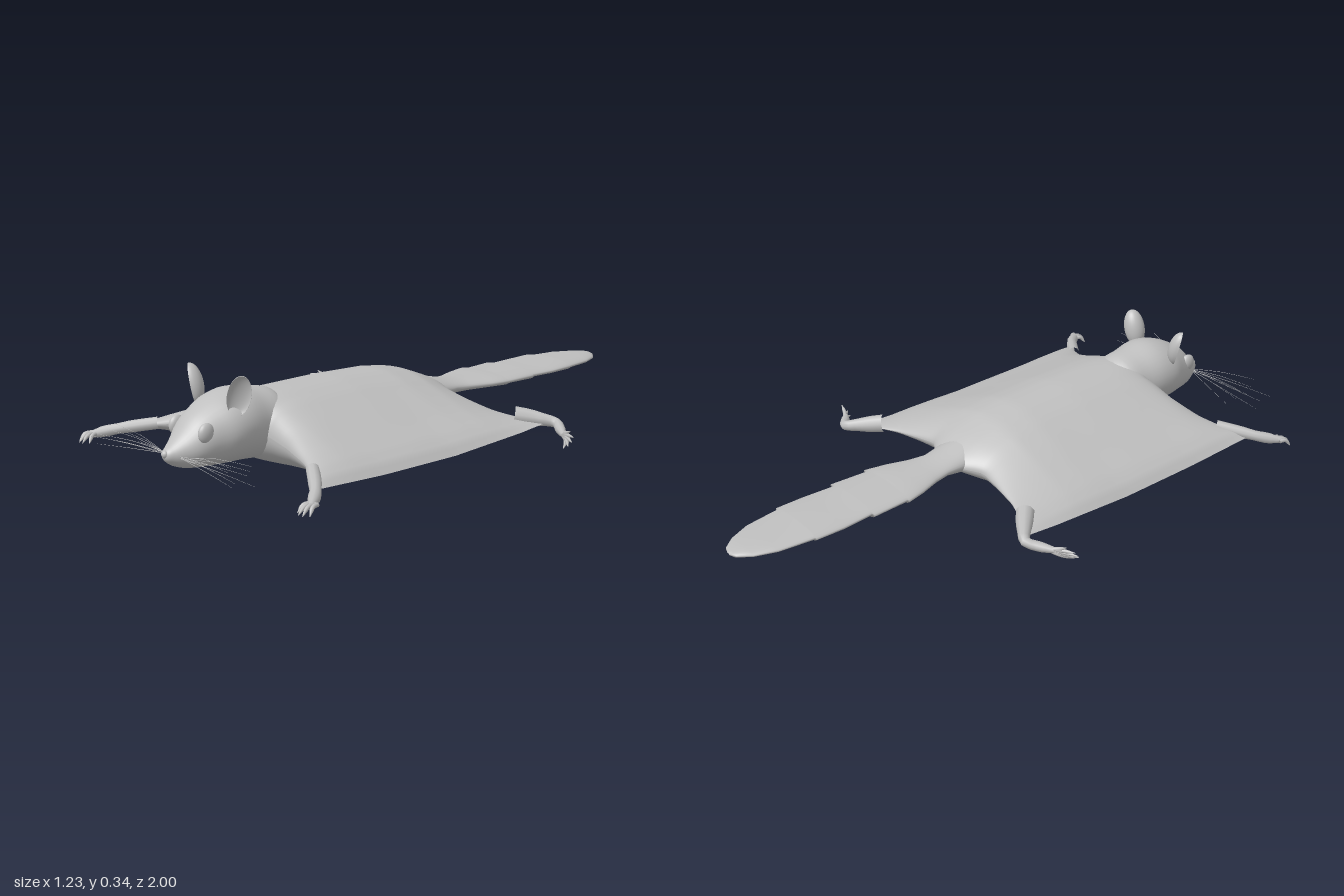
import * as THREE from 'three';
import { mergeVertices } from 'three/addons/utils/BufferGeometryUtils.js';

const grey = new THREE.MeshStandardMaterial({ color: 0xbfbfbf });
grey.name = 'grey fur';

// piecewise value of a profile given as [[key, value], ...]
function at(profile, k, col = 1) {
  if (k <= profile[0][0]) return profile[0][col];
  for (let i = 1; i < profile.length; i++) {
    const a = profile[i - 1], b = profile[i];
    if (k <= b[0]) return a[col] + (b[col] - a[col]) * (k - a[0]) / (b[0] - a[0]);
  }
  return profile[profile.length - 1][col];
}

// grid of points (rows x cols) turned into a smooth surface
function skin(rows, cols, point) {
  const pos = [], idx = [];
  for (let i = 0; i <= rows; i++) for (let j = 0; j <= cols; j++) pos.push(...point(i / rows, j / cols));
  for (let i = 0; i < rows; i++) for (let j = 0; j < cols; j++) {
    const a = i * (cols + 1) + j, b = a + cols + 1;
    idx.push(a, a + 1, b, a + 1, b + 1, b);
  }
  const g = new THREE.BufferGeometry();
  g.setAttribute('position', new THREE.Float32BufferAttribute(pos, 3));
  g.setIndex(idx);
  const merged = mergeVertices(g, 1e-5);
  merged.computeVertexNormals();
  return merged;
}

// elliptical loft along z; rings are [z, half width, bottom, top] with z rising
function loft(rings, smooth) {
  const curves = [0, 2].map(o => new THREE.CatmullRomCurve3(
    rings.map(r => o ? new THREE.Vector3(r[0], r[2], r[3]) : new THREE.Vector3(r[0], r[1], 0)), false, 'centripetal'));
  const rows = smooth ? (rings.length - 1) * 4 : rings.length - 1;
  return skin(rows, 32, (u, v) => {
    const a = (v === 1 ? 0 : v) * Math.PI * 2;
    const p = curves[0].getPoint(u), q = curves[1].getPoint(u);
    return [p.y * Math.cos(a), (q.y + q.z) / 2 + (q.z - q.y) / 2 * Math.sin(a), p.x];
  });
}

// tube whose radius follows a list spread along the path
function taper(points, radii, seg = 12, sides = 10) {
  const path = new THREE.CatmullRomCurve3(points.map(p => new THREE.Vector3(...p)));
  const g = new THREE.TubeGeometry(path, seg, 1, sides);
  const prof = radii.map((r, i) => [i / (radii.length - 1), r]);
  const pos = g.attributes.position, v = new THREE.Vector3();
  for (let i = 0; i < pos.count; i++) {
    const u = Math.floor(i / (sides + 1)) / seg, c = path.getPointAt(u);
    v.fromBufferAttribute(pos, i).sub(c).multiplyScalar(at(prof, u)).add(c);
    pos.setXYZ(i, v.x, v.y, v.z);
  }
  return g;
}

export function createModel() {
  const model = new THREE.Group();
  const add = (name, geo, parent = model) => {
    const m = new THREE.Mesh(geo, grey);
    m.name = name;
    parent.add(m);
    return m;
  };

  // body and gliding membrane: planform edges, spine, belly and cross fall-off
  const frontEdge = [[0, .70], [.1, .65], [.2, .66], [.3, .685], [.37, .715], [.42, .755], [.45, .79]];
  const backEdge = [[0, -.2], [.06, -.175], [.13, -.13], [.2, -.138], [.3, -.155], [.38, -.185], [.45, -.225]];
  const spine = [[-.2, .145], [-.15, .17], [-.1, .19], [0, .225], [.1, .241], [.3, .25], [.6, .25], [.8, .23]];
  const belly = [[-.2, .1], [-.1, .06], [0, .04], [.2, .025], [.38, .006], [.5, .002], [.6, .03], [.7, .06]];
  const fall = [[0, 1], [.12, .98], [.27, .87], [.45, .68], [.67, .44], [.85, .26], [.94, .14], [1, 0]];
  const hem = [[-.25, .08], [-.1, .068], [.2, .055], [.5, .06], [.8, .075]];
  const sheet = top => skin(56, 56, (u, v) => {
    const s = Math.sin((u - .5) * Math.PI) * .5 + (u - .5), t = .5 - .5 * Math.cos(v * Math.PI);
    const ax = Math.abs(s) * .45;
    const z0 = at(backEdge, ax), z = z0 + (at(frontEdge, ax) - z0) * t;
    const e = at(hem, z), f = Math.abs(s);
    const hi = e + (at(spine, z) - e) * at(fall, f);
    const lo = at(belly, z) + (e - at(belly, z)) * Math.pow(f, 1.6);
    const mid = (hi + lo) / 2, k = Math.sqrt(Math.max(0, 1 - Math.pow(Math.abs(2 * t - 1), 9)));
    const y = mid + ((top ? hi : lo) - mid) * k;
    return [(top ? 1 : -1) * s * .45, y, z];
  });
  const body = new THREE.Group();
  body.name = 'body';
  model.add(body);
  add('back and membrane', sheet(true), body);
  add('belly and membrane', sheet(false), body);

  // head with neck
  add('head', loft([
    [.50, .02, .12, .2], [.56, .1, .06, .255], [.63, .108, .05, .27], [.7, .118, .056, .281], [.76, .115, .058, .27],
    [.81, .097, .06, .248], [.86, .078, .064, .215], [.9, .052, .072, .172], [.93, .032, .085, .146],
    [.948, .018, .1, .132], [.955, .001, .114, .118]], true));
  const nose = add('nose', new THREE.SphereGeometry(.012, 16, 12));
  nose.position.set(0, .121, .948);

  // flat bushy tail with overlapping tufts
  add('tail', loft([
    [-1, .004, .106, .112], [-.99, .03, .1, .12], [-.95, .062, .098, .125], [-.88, .09, .098, .13], [-.761, .105, .098, .134],
    [-.76, .112, .096, .138], [-.66, .114, .098, .136], [-.551, .106, .1, .138],
    [-.55, .119, .097, .142], [-.42, .112, .1, .14], [-.419, .121, .098, .145], [-.35, .105, .1, .145],
    [-.28, .08, .1, .146], [-.22, .066, .098, .15], [-.16, .075, .09, .165], [-.08, .06, .08, .185]], false));

  for (const s of [1, -1]) {
    const side = new THREE.Group();
    side.name = s > 0 ? 'leftSide' : 'rightSide';
    model.add(side);

    // cupped ear
    const earGeo = new THREE.SphereGeometry(1, 28, 20);
    const p = earGeo.attributes.position;
    for (let i = 0; i < p.count; i++) if (p.getZ(i) > 0) p.setZ(i, -.55 * p.getZ(i));
    earGeo.scale(.036, .066, .034);
    earGeo.computeVertexNormals();
    const ear = add('ear', earGeo, side);
    ear.position.set(s * .109, .278, .757);
    ear.rotation.set(0, s * .85, -s * .28, 'ZYX');

    // eye
    const eye = add('eye', new THREE.SphereGeometry(.028, 24, 16), side);
    eye.scale.set(.6, 1.1, 1);
    eye.position.set(s * .069, .178, .85);

    // front arm and hand
    add('arm', taper([[s * .36, .1, .7], [s * .43, .085, .755], [s * .47, .075, .79], [s * .5, .066, .825], [s * .518, .06, .85]],
      [.02, .02, .02, .017, .019, .01]), side);
    [[.49, .875], [.508, .888], [.525, .888], [.541, .876]].forEach(([x, z], i) => {
      const bx = .503 + i * .008;
      add('finger', taper([[s * bx, .063, .835], [s * (bx + x) / 2, .062, (.84 + z) / 2], [s * x, .04, z]],
        [.007, .0065, .006, .001], 8, 8), side);
    });

    // hind leg and foot
    add('leg', taper([[s * .37, .1, -.16], [s * .43, .088, -.215], [s * .473, .078, -.246], [s * .505, .07, -.225], [s * .55, .062, -.19]],
      [.03, .028, .021, .016, .017, .009]), side);
    [[.585, -.147, .034], [.605, -.145, .045], [.612, -.155, .058], [.61, -.165, .072], [.585, -.18, .085]].forEach(([x, z, y], i) => {
      add('toe', taper([[s * .53, .062, -.205], [s * .565, .05 + i * .006, -.182 - i * .001], [s * x, y, z]],
        [.007, .007, .006, .001], 8, 8), side);
    });

    // whiskers
    for (let i = 0; i < 9; i++) {
      const a = (i - 4) / 4, len = .2 + .09 * ((i * 5) % 4) / 3;
      add('whisker', taper([[s * .028, .11 + .004 * a, .92], [s * (.03 + len * .55), .118 + .016 * ((i % 3) - 1), .92 + .035 * a],
        [s * (.06 + len), .115 + .024 * ((i % 3) - 1), .925 + .07 * a]], [.0009, .0007, .0003], 4, 4), side);
    }
  }
  return model;
}
